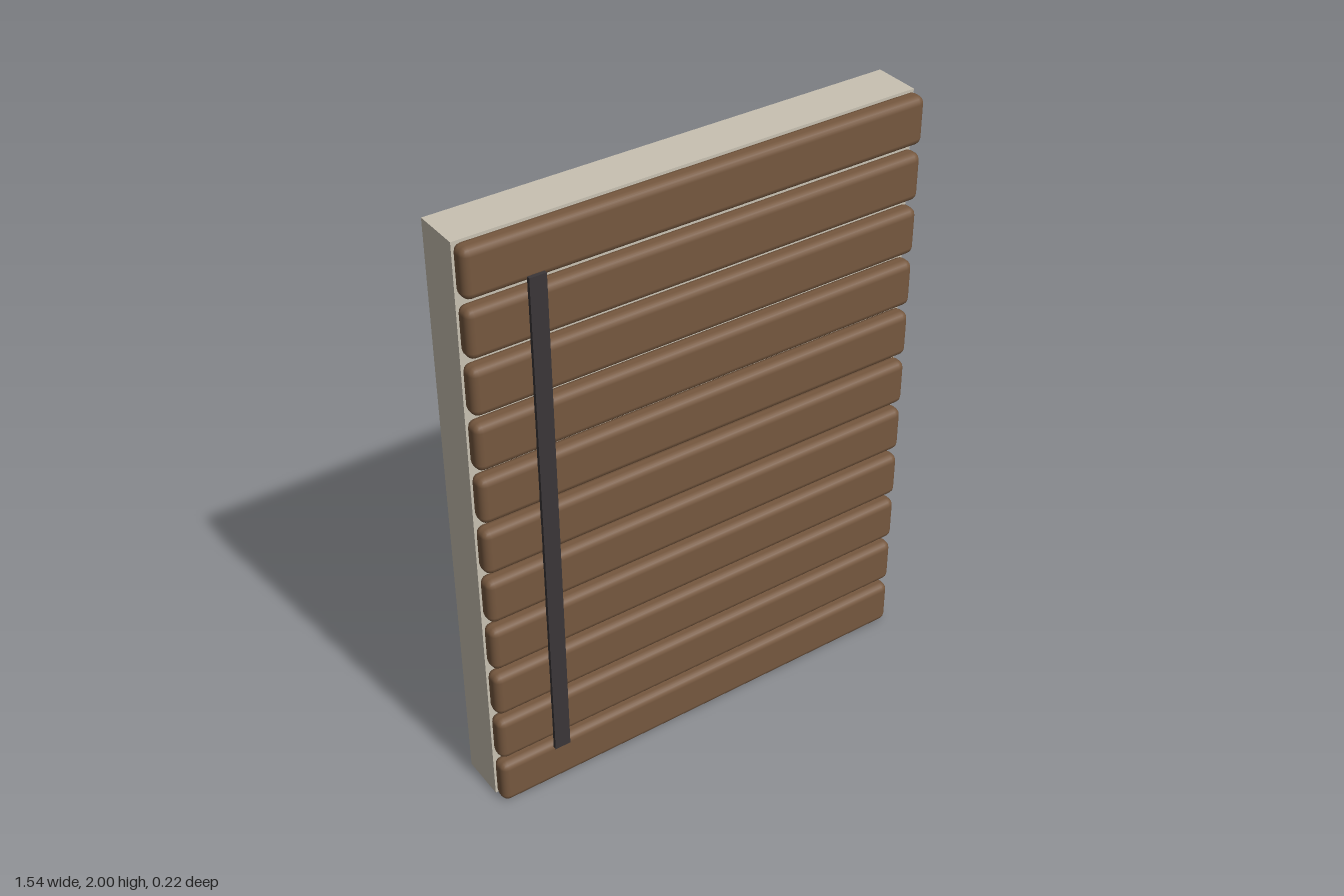
import * as THREE from 'three';
import { RoundedBoxGeometry } from 'three/addons/geometries/RoundedBoxGeometry.js';

const WIDTH = 1.536;
const SLATS = 11;
const SLAT_HEIGHT = 0.157;

export function createModel() {
  const model = new THREE.Group();
  model.name = 'slattedWallPanel';

  const add = (name, geometry, color, x, y, z, parent = model) => {
    const mesh = new THREE.Mesh(geometry, new THREE.MeshStandardMaterial({ color }));
    mesh.name = name;
    mesh.position.set(x, y, z);
    parent.add(mesh);
    return mesh;
  };

  // Solid wall core
  add('wallCore', new THREE.BoxGeometry(WIDTH, 2, 0.154), 0xc8c1b2, 0, 1, -0.035);

  // Horizontal cladding boards with softened edges
  const cladding = new THREE.Group();
  cladding.name = 'cladding';
  model.add(cladding);
  const board = new RoundedBoxGeometry(WIDTH, SLAT_HEIGHT, 0.062, 2, 0.024);
  const pitch = (2 - SLAT_HEIGHT) / (SLATS - 1);
  for (let i = 0; i < SLATS; i++) {
    add(`board${i + 1}`, board, 0x76583f, 0, SLAT_HEIGHT / 2 + i * pitch, 0.07, cladding);
  }

  // Dark vertical strap near the right edge
  add('verticalStrap', new THREE.BoxGeometry(0.054, 1.72, 0.012), 0x3a3638, -0.556, 1.003, 0.106);

  return model;
}
